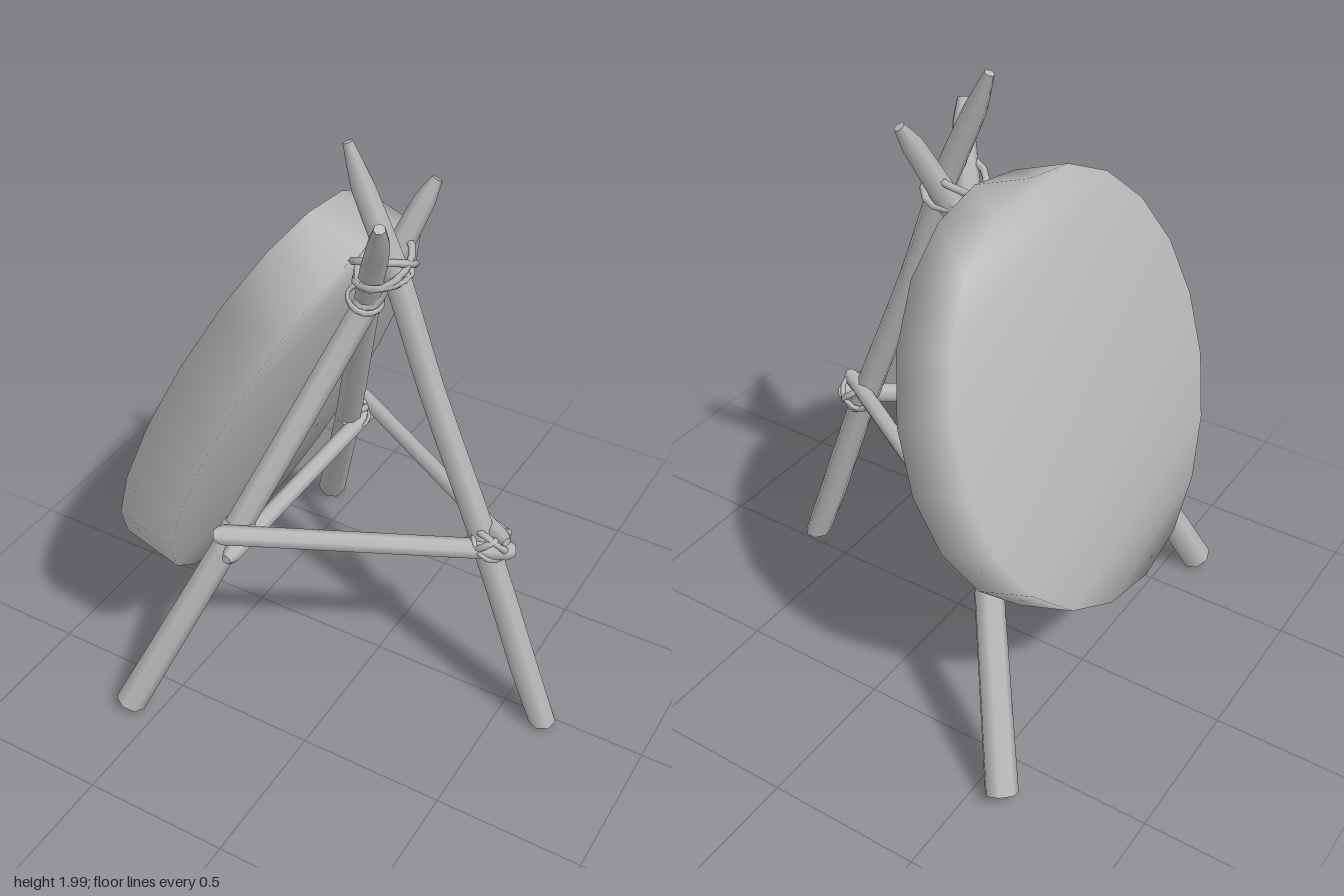
import * as THREE from 'three';

const V = (x, y, z) => new THREE.Vector3(x, y, z);

// Bent, tapering round pole through control points [x, y, z, radius], cut level at the floor
function pole(points, sides = 7, floor = 0) {
  const curve = new THREE.CatmullRomCurve3(points.map(p => V(p[0], p[1], p[2])));
  const geo = new THREE.CylinderGeometry(1, 1, 1, sides, (points.length - 1) * 3);
  const pos = geo.attributes.position, nor = geo.attributes.normal;
  const q = new THREE.Quaternion(), up = V(0, 1, 0), v = V(0, 0, 0);
  for (let i = 0; i < pos.count; i++) {
    const t = THREE.MathUtils.clamp(pos.getY(i) + 0.5, 0, 1);
    const k = Math.min(Math.floor(t * (points.length - 1)), points.length - 2);
    const r = THREE.MathUtils.lerp(points[k][3], points[k + 1][3], t * (points.length - 1) - k);
    q.setFromUnitVectors(up, curve.getTangent(t));
    v.set(pos.getX(i) * r, 0, pos.getZ(i) * r).applyQuaternion(q).add(curve.getPoint(t));
    pos.setXYZ(i, v.x, Math.max(v.y, floor), v.z);
    v.fromBufferAttribute(nor, i).applyQuaternion(q);
    nor.setXYZ(i, v.x, v.y, v.z);
  }
  return geo;
}

// Straight crossbar with blunt rounded ends
function bar(a, b, r) {
  const A = V(...a), B = V(...b);
  const at = (t, s) => [...A.clone().lerp(B, t).toArray(), r * s];
  return pole([at(0, 0.55), at(0.03, 1), at(0.5, 1), at(0.97, 1), at(1, 0.55)]);
}

// Thick disc with soft rim shading, its axis tilted downwards
function disc(center, radius, half, n = 20) {
  const u = V(0.352, 0.936, 0), z = V(0, 0, 1), axis = V(0.936, -0.352, 0);
  const verts = [], index = [];
  for (const s of [-half, half]) {
    for (let i = 0; i < n; i++) {
      const a = (i / n) * Math.PI * 2;
      verts.push(...center.clone().addScaledVector(u, radius * Math.cos(a))
        .addScaledVector(z, radius * Math.sin(a)).addScaledVector(axis, s).toArray());
    }
  }
  for (let i = 0; i < n; i++) {
    const j = (i + 1) % n;
    index.push(i, j, n + j, i, n + j, n + i);
  }
  // caps laid as horizontal strips
  const cap = (a, b, c) => {
    if (a === b || b === c || a === c) return;
    index.push(n + a, n + b, n + c, a, c, b);
  };
  for (let i = 0; i < n / 2; i++) {
    cap(i, i + 1, n - i - 1);
    cap(i, n - i - 1, (n - i) % n);
  }
  const geo = new THREE.BufferGeometry();
  geo.setAttribute('position', new THREE.Float32BufferAttribute(verts, 3));
  geo.setIndex(index);
  geo.computeVertexNormals();
  return geo;
}

export function createModel() {
  const group = new THREE.Group();
  const grey = new THREE.MeshStandardMaterial({ color: 0xb8b8b8 });
  grey.name = 'plain grey';
  const add = (name, geo) => {
    const mesh = new THREE.Mesh(geo, grey);
    mesh.name = name;
    group.add(mesh);
    return mesh;
  };

  add('targetDisc', disc(V(-0.373, 1.05, 0.017), 0.667, 0.098));

  // Three poles crossing near the top
  add('propLeg', pole([
    [0.652, 0, 0.035, 0.049], [0.41, 0.7, 0.035, 0.045], [0.2, 1.24, 0.035, 0.042],
    [0.07, 1.62, 0.035, 0.042], [-0.03, 1.86, 0.04, 0.036], [-0.078, 1.985, 0.04, 0.016]], 7, 0.02));
  add('frontLeg', pole([
    [-0.595, 0.03, 0.665, 0.053], [-0.3, 0.74, 0.375, 0.045], [-0.045, 1.42, 0.045, 0.042],
    [0.04, 1.64, -0.045, 0.04], [0.09, 1.78, -0.105, 0.034], [0.112, 1.84, -0.135, 0.018]]));
  add('backLeg', pole([
    [-0.595, 0.03, -0.66, 0.053], [-0.3, 0.74, -0.31, 0.045], [-0.05, 1.42, -0.005, 0.042],
    [0.03, 1.64, 0.085, 0.04], [0.08, 1.76, 0.145, 0.034], [0.1, 1.825, 0.175, 0.018]]));

  // Crossbars tying the legs together
  add('sideBar', bar([-0.275, 0.685, 0.49], [-0.275, 0.685, -0.44], 0.03));
  add('frontBar', bar([-0.335, 0.745, 0.465], [0.505, 0.705, 0.02], 0.034));
  add('backBar', bar([-0.32, 0.735, -0.43], [0.49, 0.765, 0.06], 0.028));

  // Cord loops: centre, facing direction, two half widths
  const loop = (name, c, dir, rx, ry) => {
    const mesh = add(name, new THREE.TorusGeometry(1, 0.13, 5, 14));
    mesh.position.set(...c);
    mesh.quaternion.setFromUnitVectors(V(0, 0, 1), V(...dir).normalize());
    mesh.scale.set(rx, ry, 0.09);
  };
  // top binding
  for (const s of [-1, 1]) {
    loop('topLashing', [0.03, 1.62, 0.025], [-0.25, 1, 0.55 * s], 0.085, 0.098);
  }
  loop('topLashing', [0.03, 1.58, 0.03], [-0.2, 1, 0], 0.085, 0.085);
  loop('lowerLashing', [-0.035, 1.475, 0.025], [0.35, 1, 0], 0.055, 0.065);
  // diagonal bindings where bars meet legs
  const joints = [
    ['propLashing', [0.425, 0.725, 0.035], 0.065],
    ['frontLashing', [-0.295, 0.715, 0.39], 0.056],
    ['backLashing', [-0.295, 0.715, -0.335], 0.056],
  ];
  for (const [name, c, r] of joints) {
    loop(name, c, [0.7, 0.8, 0.25], r, r);
    loop(name, c, [-0.7, 0.8, -0.25], r, r);
    loop(name, c, [0.25, 0.6, Math.sign(c[2]) * -0.7], r, r);
  }
  return group;
}
